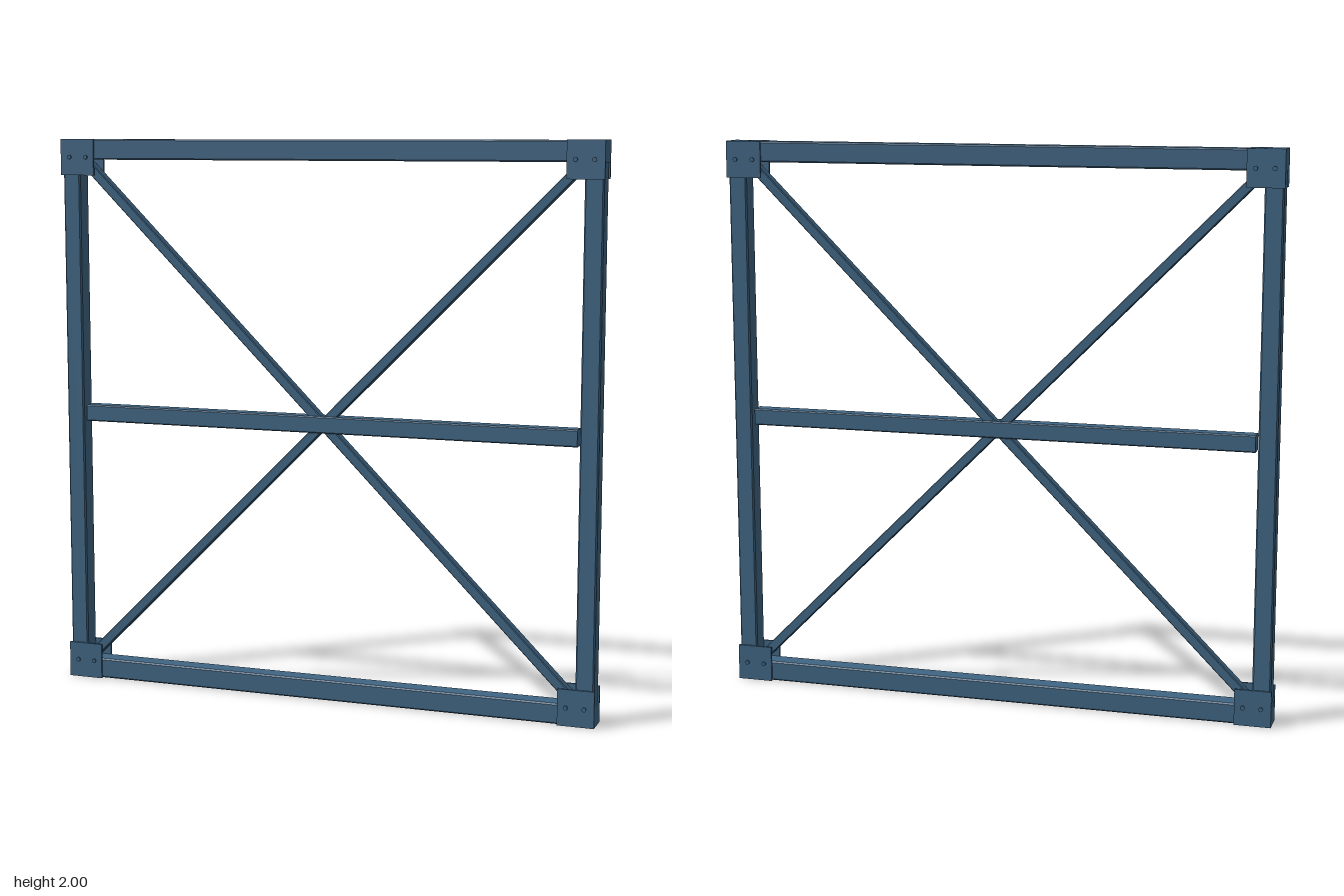
import * as THREE from 'three';

const steel = new THREE.MeshStandardMaterial({ color: 0x3f6583 });
steel.name = 'blue steel';

// Bar along x with chamfered long edges: h is its height in y, d its depth in z
function bar(name, length, h, d, c) {
  const y = h / 2, z = d / 2;
  const section = new THREE.Shape([
    [z - c, -y], [z, -y + c], [z, y - c], [z - c, y],
    [-z + c, y], [-z, y - c], [-z, -y + c], [-z + c, -y],
  ].map(([a, b]) => new THREE.Vector2(a, b)));
  const geo = new THREE.ExtrudeGeometry(section, { depth: length, bevelEnabled: false });
  geo.translate(0, 0, -length / 2).rotateY(Math.PI / 2);
  const mesh = new THREE.Mesh(geo, steel);
  mesh.name = name;
  return mesh;
}

function block(name, w, h, d, x, y, z) {
  const mesh = new THREE.Mesh(new THREE.BoxGeometry(w, h, d), steel);
  mesh.name = name;
  mesh.position.set(x, y, z);
  return mesh;
}

// Corner bracket: solid outer block, two gusset plates, and bolts on both faces
function corner(sx, sy) {
  const g = new THREE.Group();
  g.name = (sy > 0 ? 'top' : 'bottom') + (sx > 0 ? 'Left' : 'Right') + 'Corner';
  g.add(block('cornerBlock', 0.075, 0.075, 0.09, sx * 0.9625, sy * 0.9625, 0));
  for (const sz of [-1, 1]) {
    g.add(block('gussetPlate', 0.13, 0.13, 0.008, sx * 0.935, sy * 0.935, sz * 0.041));
    for (const x of [0.9, 0.965]) {
      const bolt = new THREE.Mesh(new THREE.CylinderGeometry(0.008, 0.008, 0.007, 10), steel);
      bolt.name = 'bolt';
      bolt.rotation.x = Math.PI / 2;
      bolt.position.set(sx * x, sy * 0.935, sz * 0.0475);
      g.add(bolt);
    }
  }
  return g;
}

export function createModel() {
  const model = new THREE.Group();
  model.name = 'bracedFrame';
  const frame = new THREE.Group();
  frame.name = 'frame';
  frame.position.y = 1;
  model.add(frame);

  for (const s of [-1, 1]) {
    // Horizontal rails
    const rail = bar(s > 0 ? 'topRail' : 'bottomRail', 1.86, 0.073, 0.074, 0.005);
    rail.position.y = s * 0.9625;
    frame.add(rail);

    // Upright posts
    const post = bar(s > 0 ? 'leftPost' : 'rightPost', 1.86, 0.066, 0.068, 0.005);
    post.rotation.z = Math.PI / 2;
    post.position.x = s * 0.963;
    frame.add(post);

    // Diagonal braces
    const brace = bar(s > 0 ? 'risingBrace' : 'fallingBrace', 2.6, 0.034, 0.04, 0.003);
    brace.rotation.z = s * Math.PI / 4;
    frame.add(brace);

    for (const sy of [-1, 1]) frame.add(corner(s, sy));
  }

  // Middle rail
  frame.add(bar('middleRail', 1.84, 0.06, 0.058, 0.004));
  return model;
}
